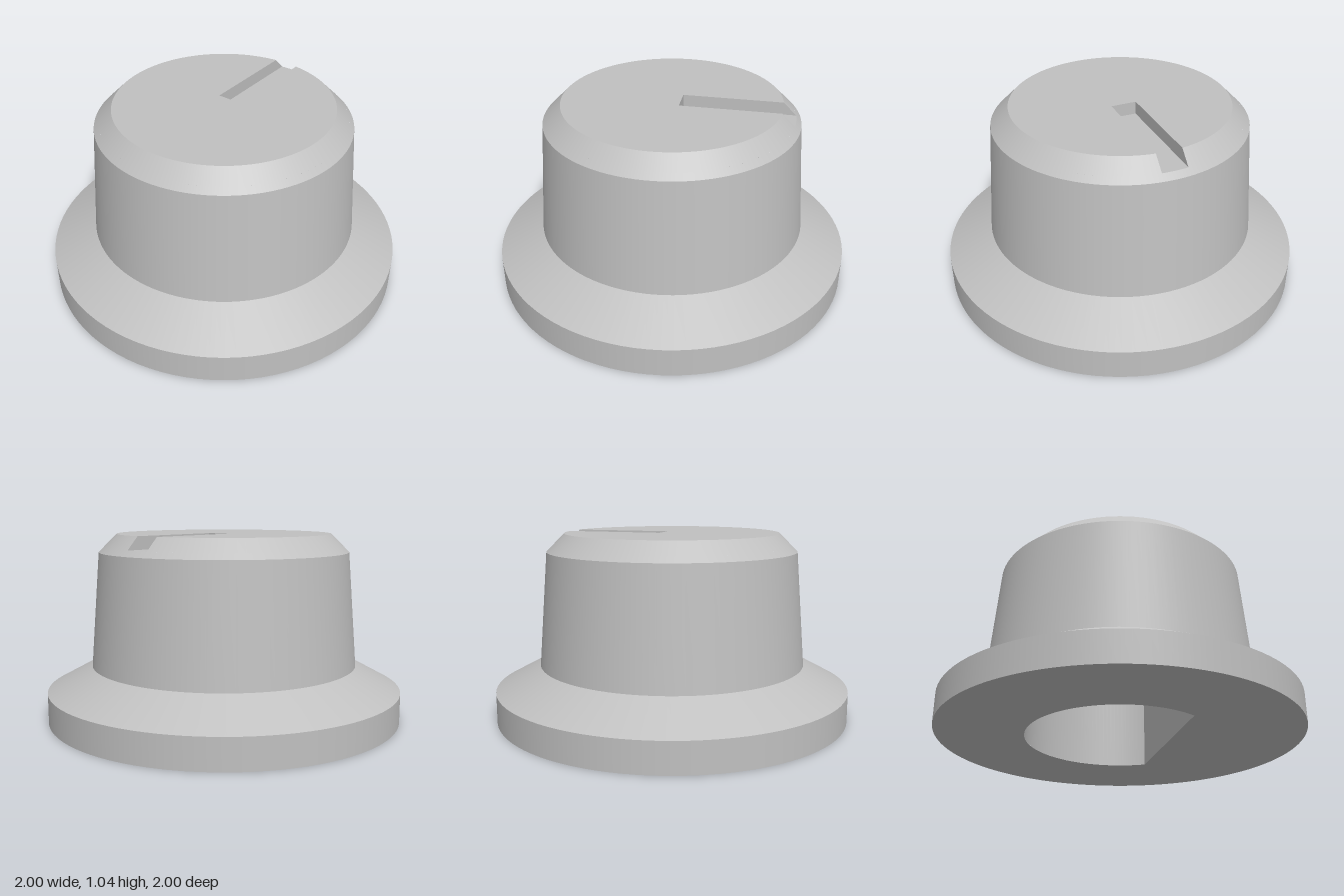
import * as THREE from 'three';

const SEG = 96;
const TOP = 1.037, CHAMFER = 0.937, FLOOR = 0.967;   // heights
const SLOT = 0.07, SLOT_END = 0.05;                  // half width, inner end
const BORE = 0.52, BORE_FLAT = 0.27, BORE_DEPTH = 0.83;

// Conical band from (r0, y0) to (r1, y1), with an optional gap of |x| < gap facing -z.
// Running downwards turns the band inside out.
function band(r0, y0, r1, y1, gap = 0) {
  const pos = [], nor = [], idx = [];
  const len = Math.hypot(y1 - y0, r0 - r1);
  for (let i = 0; i <= SEG; i++) {
    for (const [r, y] of [[r0, y0], [r1, y1]]) {
      const a = Math.asin(gap / r);
      const t = Math.PI + a + (i / SEG) * 2 * (Math.PI - a);
      pos.push(r * Math.sin(t), y, r * Math.cos(t));
      nor.push(Math.sin(t) * (y1 - y0) / len, (r0 - r1) / len, Math.cos(t) * (y1 - y0) / len);
    }
    if (i < SEG) {
      const k = i * 2;
      idx.push(k, k + 2, k + 1, k + 1, k + 2, k + 3);
    }
  }
  const g = new THREE.BufferGeometry();
  g.setAttribute('position', new THREE.Float32BufferAttribute(pos, 3));
  g.setAttribute('normal', new THREE.Float32BufferAttribute(nor, 3));
  g.setIndex(idx);
  return g;
}

// D-shaped outline of the shaft hole, flat towards +x
function dOutline(Type) {
  const a = Math.acos(BORE_FLAT / BORE);
  const s = new Type();
  s.absarc(0, 0, BORE, a, 2 * Math.PI - a, false);
  s.closePath();
  return s;
}

export function createModel() {
  const group = new THREE.Group();
  const grey = new THREE.MeshStandardMaterial({ color: 0xc0c0c0 });
  grey.name = 'grey';
  const add = (name, geometry) => {
    const m = new THREE.Mesh(geometry, grey);
    m.name = name;
    group.add(m);
    return m;
  };
  const flat = (shape) => new THREE.ShapeGeometry(shape, SEG);

  // Outer skin
  add('flangeRim', band(1, 0, 1, 0.167));
  add('flangeSlope', band(1, 0.167, 0.75, 0.302));
  add('gripWall', band(0.75, 0.302, 0.7, CHAMFER));
  add('chamferLower', band(0.7, CHAMFER, 0.67, FLOOR));
  add('chamferUpper', band(0.67, FLOOR, 0.6, TOP, SLOT));

  // Top face with the slot cut out
  const a = Math.asin(SLOT / 0.6);
  const top = new THREE.Shape();
  top.absarc(0, 0, 0.6, Math.PI / 2 + a, Math.PI * 2.5 - a, false);
  top.lineTo(SLOT, SLOT_END);
  top.lineTo(-SLOT, SLOT_END);
  top.closePath();
  add('topFace', flat(top).rotateX(-Math.PI / 2)).position.y = TOP;

  // Pointer slot: floor, inner end and two side walls
  const b = Math.asin(SLOT / 0.67);
  const floor = new THREE.Shape();
  floor.moveTo(-SLOT, SLOT_END);
  floor.lineTo(SLOT, SLOT_END);
  floor.absarc(0, 0, 0.67, Math.PI / 2 - b, Math.PI / 2 + b, false);
  floor.closePath();
  add('slotFloor', flat(floor).rotateX(-Math.PI / 2)).position.y = FLOOR;

  add('slotEnd', new THREE.PlaneGeometry(2 * SLOT, TOP - FLOOR).rotateY(Math.PI))
    .position.set(0, (TOP + FLOOR) / 2, -SLOT_END);

  for (const side of [-1, 1]) {
    const wall = new THREE.Shape([
      [SLOT_END, FLOOR], [0.67 * Math.cos(b), FLOOR], [0.6 * Math.cos(a), TOP], [SLOT_END, TOP],
    ].map(([s, y]) => new THREE.Vector2(-side * s, y)));
    add(side > 0 ? 'slotWallLeft' : 'slotWallRight', flat(wall).rotateY(-side * Math.PI / 2))
      .position.x = side * SLOT;
  }

  // Underside with the D-shaped shaft hole
  const base = new THREE.Shape();
  base.absarc(0, 0, 1, Math.PI / 2, Math.PI * 2.5, false);
  base.holes.push(dOutline(THREE.Path));
  add('underside', flat(base).rotateX(Math.PI / 2));

  const chord = Math.sqrt(BORE ** 2 - BORE_FLAT ** 2);
  add('shaftHoleWall', band(BORE, BORE_DEPTH, BORE, 0, chord).rotateY(-Math.PI / 2));
  add('shaftHoleFlat', new THREE.PlaneGeometry(2 * chord, BORE_DEPTH).rotateY(-Math.PI / 2))
    .position.set(BORE_FLAT, BORE_DEPTH / 2, 0);
  add('shaftHoleEnd', flat(dOutline(THREE.Shape)).rotateX(Math.PI / 2)).position.y = BORE_DEPTH;

  return group;
}
